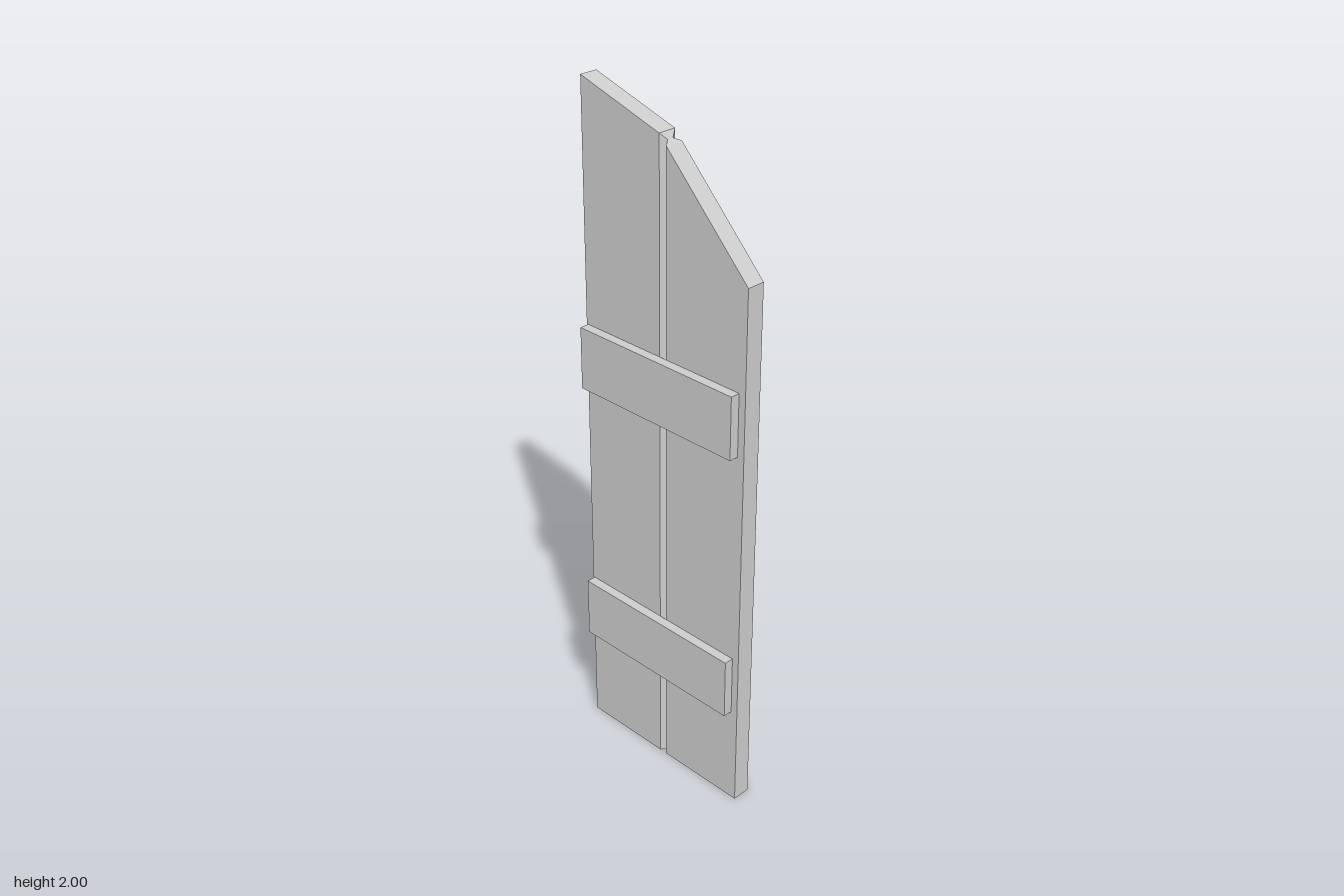
import * as THREE from 'three';

const material = new THREE.MeshStandardMaterial({ color: 0xcccccc, flatShading: true });

// Solid from vertical slices, left to right: [x, top, back z, front z]
function slicedBoard(slices) {
  const rings = slices.map(([x, top, back, front]) => [
    [x, 0, front], [x, 0, back], [x, top, back], [x, top, front],
  ]);
  const positions = [];
  const quad = (a, b, c, d) => positions.push(...a, ...b, ...c, ...a, ...c, ...d);

  for (let i = 0; i < rings.length - 1; i++) {
    const p = rings[i], q = rings[i + 1];
    for (let k = 0; k < 4; k++) {
      const n = (k + 1) % 4;
      quad(p[n], q[n], q[k], p[k]);
    }
  }
  // End faces
  quad(...rings[rings.length - 1]);
  quad(...[...rings[0]].reverse());

  const geometry = new THREE.BufferGeometry();
  geometry.setAttribute('position', new THREE.Float32BufferAttribute(positions, 3));
  geometry.computeVertexNormals();
  return geometry;
}

export function createModel() {
  const model = new THREE.Group();
  model.name = 'plankShutter';

  // Two planks with a sloping top, joined by a V groove on both faces
  const back = -0.041, front = 0.013;
  const planks = new THREE.Mesh(slicedBoard([
    [-0.292, 2.0, back, front],
    [-0.012, 1.917, back, front],
    [0, 1.9, -0.022, -0.004],
    [0.012, 1.891, back, front],
    [0.292, 1.606, back, front],
  ]), material);
  planks.name = 'planks';
  model.add(planks);

  // Cross battens on the front
  for (const [name, y] of [['lowerBatten', 0.398], ['upperBatten', 1.222]]) {
    const batten = new THREE.Mesh(new THREE.BoxGeometry(0.557, 0.184, 0.028), material);
    batten.name = name;
    batten.position.set(-0.0085, y, front + 0.014);
    model.add(batten);
  }

  return model;
}
